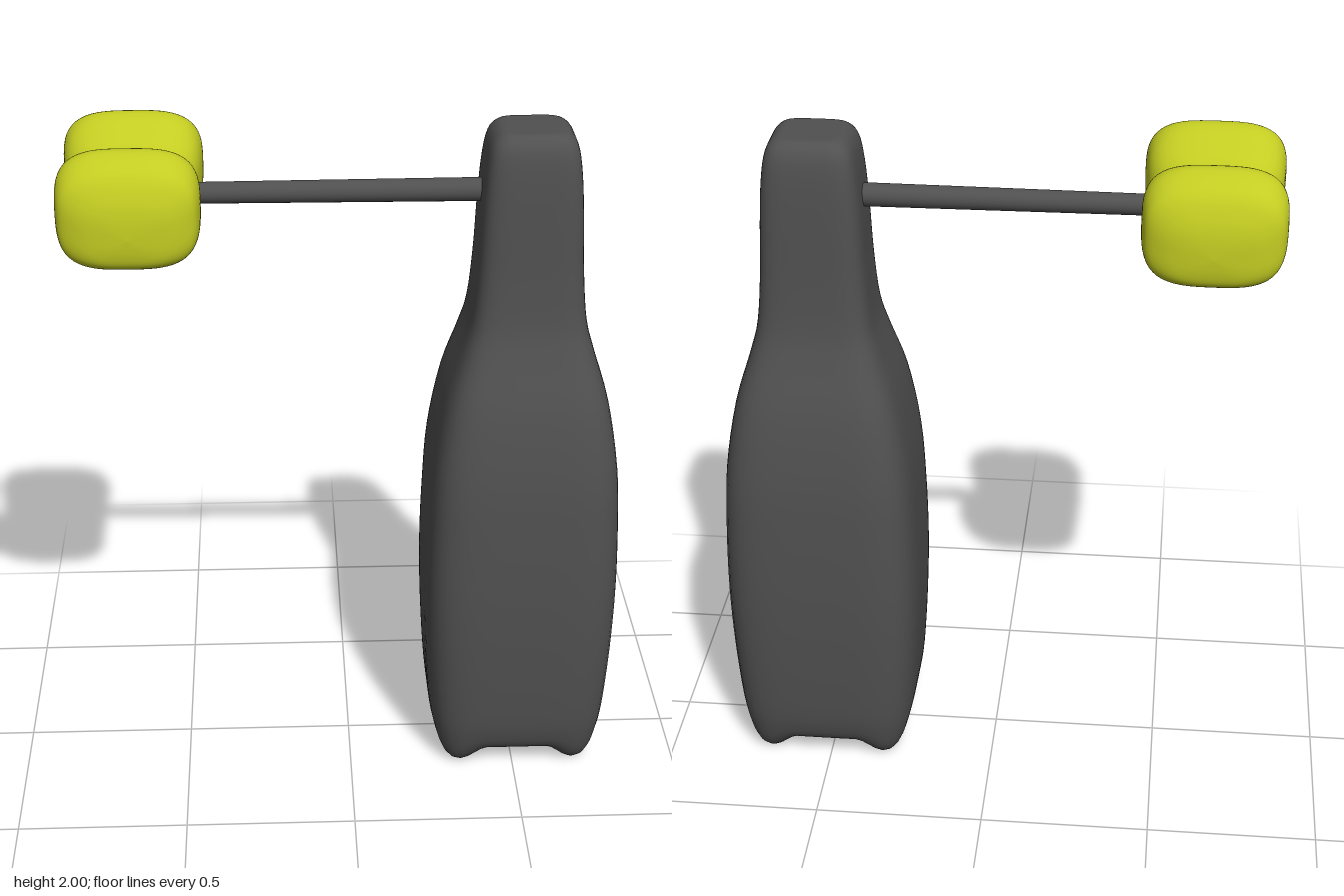
import * as THREE from 'three';

const DARK = new THREE.MeshStandardMaterial({ color: 0x505050 });
const YELLOW = new THREE.MeshStandardMaterial({ color: 0xc3cc22 });

// Catmull-Rom refinement of a list of number rows
function refine(rows, steps) {
  const at = (i) => rows[Math.min(Math.max(i, 0), rows.length - 1)];
  const out = [];
  for (let i = 0; i < rows.length - 1; i++) {
    for (let s = 0; s < steps; s++) {
      const t = s / steps;
      out.push(at(i).map((b, k) => {
        const a = at(i - 1)[k], c = at(i + 1)[k], d = at(i + 2)[k];
        return b + 0.5 * t * (c - a + t * (2 * a - 5 * b + 4 * c - d + t * (3 * (b - c) + d - a)));
      }));
    }
  }
  out.push(at(rows.length - 1));
  return out;
}

// Closed rings joined into a smooth skin; point(row, u, v) places a unit rounded-square point
function loft(rows, power, point, sides = 80) {
  const pos = [], index = [];
  rows.forEach((row, i) => {
    for (let j = 0; j < sides; j++) {
      const a = (j / sides) * Math.PI * 2, c = Math.cos(a), s = Math.sin(a);
      const r = (Math.abs(c) ** power + Math.abs(s) ** power) ** (-1 / power);
      pos.push(...point(row, c * r, s * r));
      if (i === 0) continue;
      const k = (j + 1) % sides, p = (i - 1) * sides, q = i * sides;
      index.push(p + j, q + j, p + k, p + k, q + j, q + k);
    }
  });
  const geo = new THREE.BufferGeometry();
  geo.setAttribute('position', new THREE.Float32BufferAttribute(pos, 3));
  geo.setIndex(index);
  geo.computeVertexNormals();
  return geo;
}

function add(group, name, geometry, material) {
  const mesh = new THREE.Mesh(geometry, material);
  mesh.name = name;
  group.add(mesh);
  return mesh;
}

export function createModel() {
  const group = new THREE.Group();

  // Bottle-shaped body: half width, height, lift of the side middles (arches between four feet)
  const bodyRows = [
    [0, 0.085, 0], [0.07, 0.08, 0], [0.14, 0.048, 0.03], [0.185, 0.015, 0.047], [0.212, 0.006, 0.055],
    [0.238, 0.035, 0.045], [0.256, 0.1, 0.02], [0.27, 0.2, 0], [0.283, 0.4, 0], [0.288, 0.6, 0],
    [0.284, 0.8, 0], [0.272, 1.0, 0], [0.238, 1.2, 0], [0.192, 1.35, 0], [0.166, 1.45, 0],
    [0.152, 1.6, 0], [0.145, 1.75, 0], [0.136, 1.88, 0], [0.122, 1.96, 0], [0.095, 1.995, 0],
    [0.06, 2, 0], [0, 2, 0],
  ];
  const body = add(group, 'body', loft(refine(bodyRows, 4), 5, ([half, y, lift], u, v) => {
    const corner = THREE.MathUtils.smoothstep(Math.min(Math.abs(u), Math.abs(v)), 0.4, 0.87);
    return [u * half, Math.max(0, y + lift * (1 - corner)), v * half];
  }), DARK);
  body.position.x = 0.513;

  // Rod reaching from the neck into the waist of the pod
  const rod = add(group, 'rod', new THREE.CylinderGeometry(0.03, 0.034, 0.98, 24), DARK);
  rod.rotation.z = Math.PI / 2;
  rod.position.set(-0.03, 1.812, 0);

  // Two-lobed pod with a sagging waist: z, half width, top, bottom; mirrored in z
  const lobe = [
    [0.295, 0, 1.785, 1.785], [0.291, 0.07, 1.84, 1.74], [0.28, 0.13, 1.89, 1.706],
    [0.255, 0.178, 1.945, 1.688], [0.22, 0.194, 1.976, 1.682], [0.17, 0.198, 1.998, 1.685],
    [0.12, 0.194, 1.985, 1.68], [0.06, 0.187, 1.94, 1.65],
  ];
  const back = lobe.map(([z, ...rest]) => [-z, ...rest]).reverse();
  const podRows = [...lobe, [0, 0.184, 1.92, 1.64], ...back];
  const pod = add(group, 'pod', loft(refine(podRows, 5), 3.2, ([z, half, top, bottom], u, v) =>
    [u * half, (top + bottom) / 2 + (v * (top - bottom)) / 2, z]), YELLOW);
  pod.position.x = -0.608;

  return group;
}
